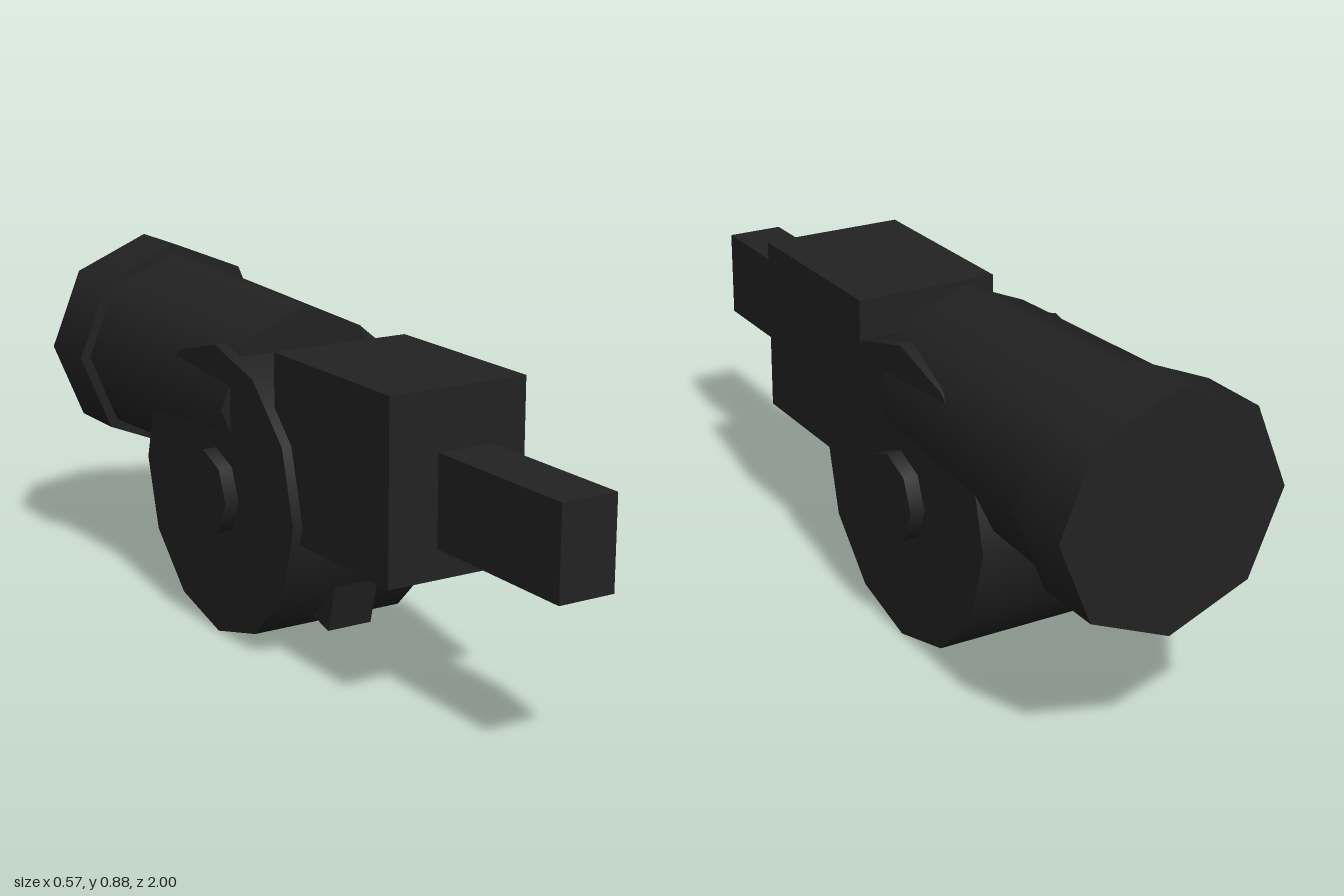
import * as THREE from 'three';

export function createModel() {
  const group = new THREE.Group();
  group.name = 'model';
  const black = new THREE.MeshStandardMaterial({ color: 0x222222 });
  black.name = 'matte black';

  function add(name, geometry, x, y, z) {
    const mesh = new THREE.Mesh(geometry, black);
    mesh.name = name;
    mesh.position.set(x, y, z);
    group.add(mesh);
    return mesh;
  }

  // Boxes given by half width and their y and z ranges
  const box = (name, hw, y0, y1, z0, z1) =>
    add(name, new THREE.BoxGeometry(hw * 2, y1 - y0, z1 - z0), 0, (y0 + y1) / 2, (z0 + z1) / 2);
  box('frontBlock', 0.185, 0.325, 0.772, 0.03, 0.527);
  box('frontBar', 0.073, 0.411, 0.635, 0.556, 1);

  // Drum and hub, lying across x
  const across = (name, r, halfWidth, sides) => {
    const geometry = new THREE.CylinderGeometry(r, r, halfWidth * 2, sides);
    add(name, geometry.rotateZ(Math.PI / 2), 0, 0.373, -0.215);
  };
  across('drum', 0.373, 0.211, 12);
  across('drumHub', 0.112, 0.248, 8);

  // Eight-sided tube and end cap, running back along z
  const along = (name, rFront, rBack, zFront, zBack) => {
    const geometry = new THREE.CylinderGeometry(rBack, rFront, zFront - zBack, 8);
    add(name, geometry.rotateX(-Math.PI / 2), 0, 0.598, (zFront + zBack) / 2);
  };
  along('tube', 0.235, 0.258, -0.14, -0.83);
  along('endCap', 0.285, 0.285, -0.826, -1);

  // Small tilted tab, nearly flush with the drum's lower front facet
  const tab = new THREE.BoxGeometry(0.124, 0.245, 0.12);
  tab.translate(0, 0.1225, -0.06).rotateX(Math.PI / 12);
  add('lowerTab', tab, 0, 0.061, 0.073);

  return group;
}
